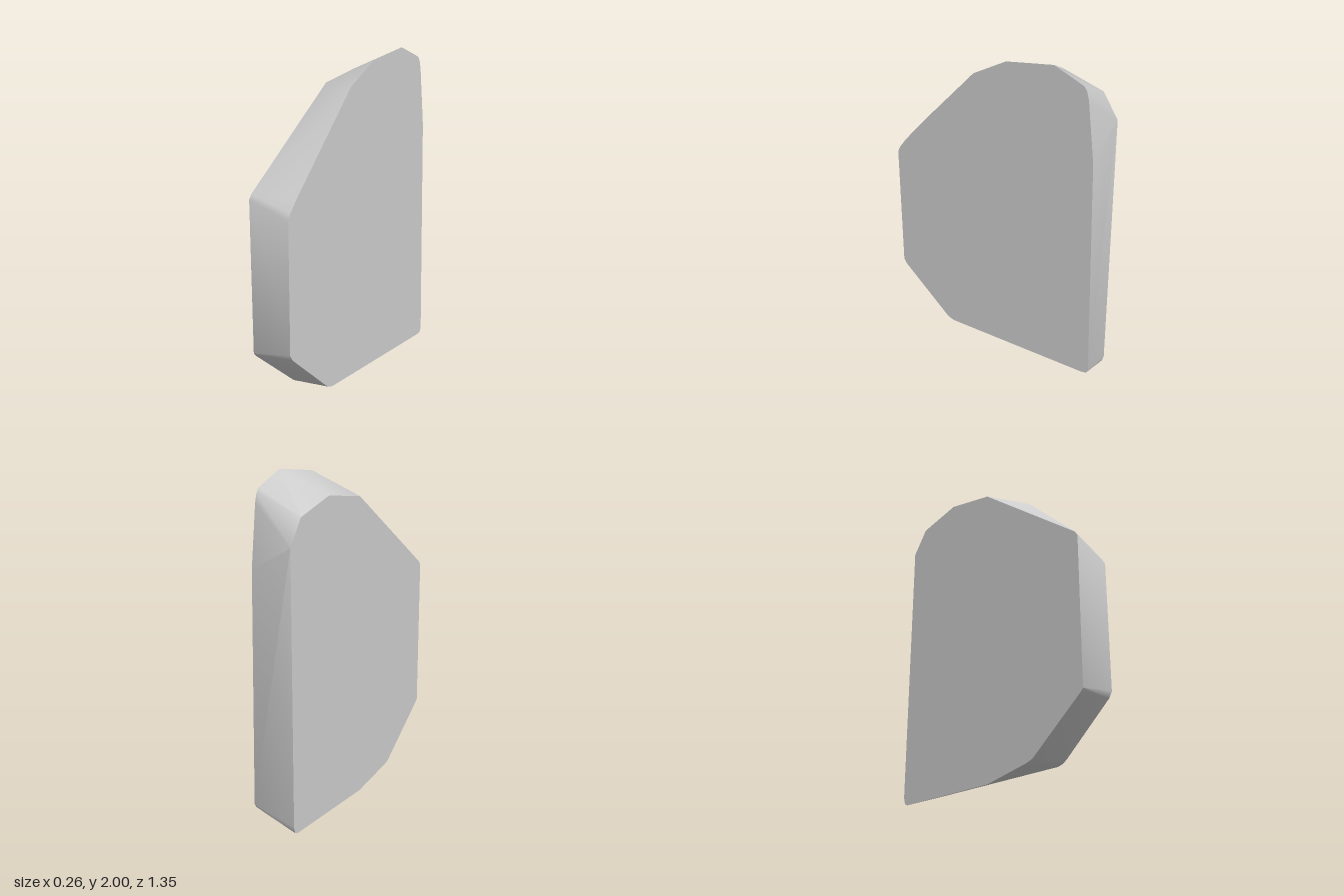
import * as THREE from 'three';
import { ConvexGeometry } from 'three/addons/geometries/ConvexGeometry.js';
import { toCreasedNormals } from 'three/addons/utils/BufferGeometryUtils.js';

const HALF_WIDTH = 0.13;

// Outlines of the two flat sides as [z, y], from the top round the front to the back
const leftOutline = [
  [-0.39, 2.0], [-0.1, 1.955], [0.11, 1.84], [0.6, 1.31], [0.65, 1.245], [0.667, 1.21],
  [0.67, 0.44], [0.65, 0.405], [0.35, 0.13], [0.325, 0.112], [0.29, 0.102],
  [-0.63, 0.1], [-0.665, 0.107], [-0.677, 0.13],
  [-0.642, 1.5], [-0.6, 1.85], [-0.587, 1.9], [-0.57, 1.925],
];
const rightOutline = [
  [-0.3, 1.87], [-0.005, 1.822], [0.66, 1.312], [0.677, 1.285],
  [0.677, 0.385], [0.66, 0.365], [0.33, 0.08], [0.29, 0.065], [0.01, 0.004],
  [-0.62, 0.0], [-0.64, 0.01], [-0.65, 0.05],
  [-0.642, 1.65], [-0.55, 1.795],
];

export function createModel() {
  const group = new THREE.Group();
  group.name = 'slab';
  const grey = new THREE.MeshStandardMaterial({ color: 0xcccccc });
  grey.name = 'grey';

  // Convex slab stretched between both outlines, with a softly shaded rim
  const toPoints = (outline, x) => outline.map(([z, y]) => new THREE.Vector3(x, y, z));
  const hull = new ConvexGeometry([
    ...toPoints(leftOutline, HALF_WIDTH),
    ...toPoints(rightOutline, -HALF_WIDTH),
  ]);
  const body = new THREE.Mesh(toCreasedNormals(hull, 0.6), grey);
  body.name = 'slabBody';
  group.add(body);
  return group;
}
